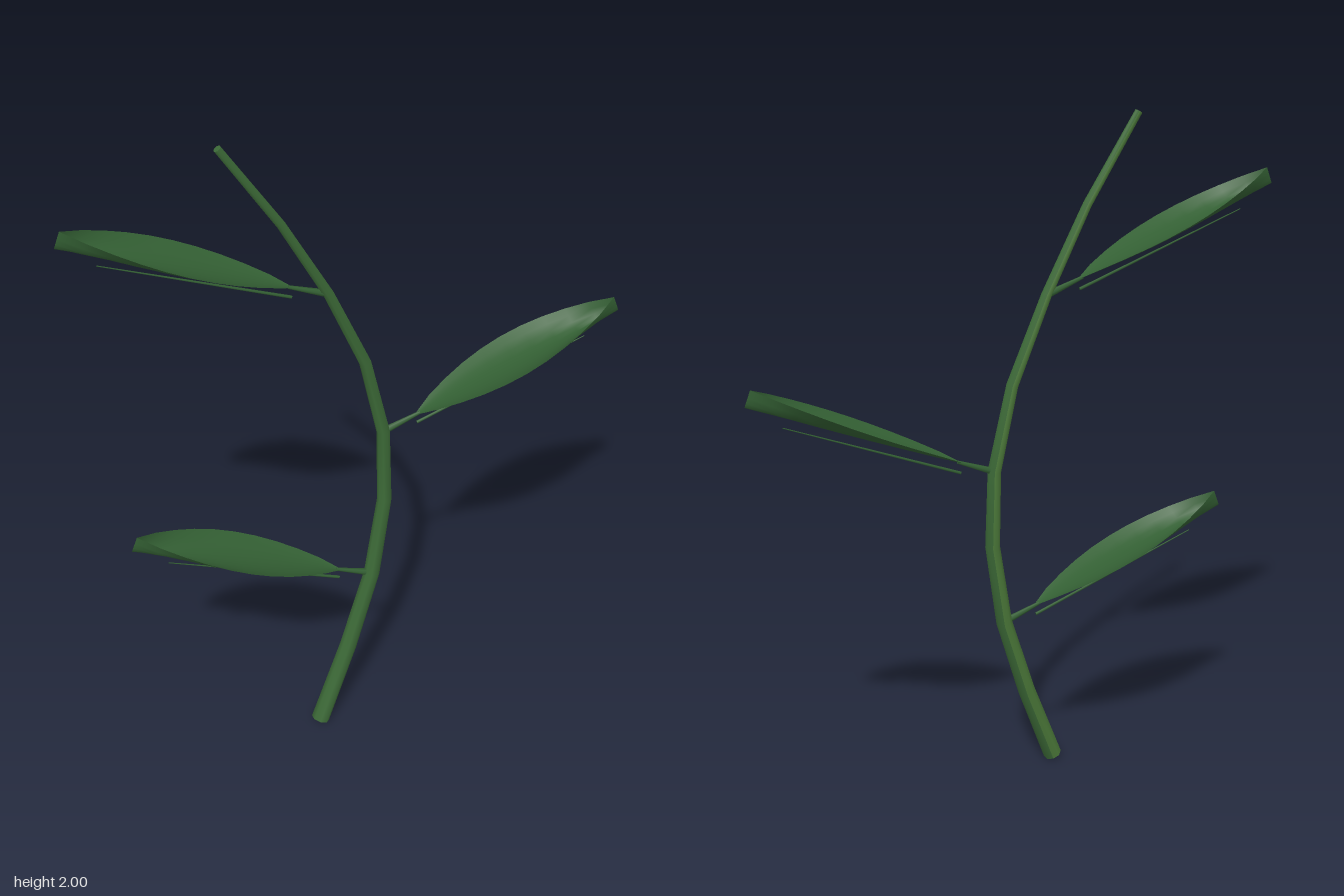
import * as THREE from 'three';

const stemGreen = new THREE.MeshStandardMaterial({ color: 0x3b6836, side: THREE.DoubleSide });
stemGreen.name = 'stem green';
const paleGreen = new THREE.MeshStandardMaterial({ color: 0x4c7a3a, side: THREE.DoubleSide });
paleGreen.name = 'pale stem green';
const leafGreen = new THREE.MeshStandardMaterial({ color: 0x335f33, side: THREE.DoubleSide });
leafGreen.name = 'leaf green';

// Stem centre line from the cut base to the tip
const stemPoints = [
  [-0.117, 0.01, 0.15], [-0.03, 0.26, 0.085], [0.042, 0.51, 0.03],
  [0.078, 0.765, -0.008], [0.073, 1.0, -0.024], [0.02, 1.25, -0.01],
  [-0.08, 1.5, 0.03], [-0.2, 1.745, 0.088], [-0.35, 1.995, 0.15],
].map(p => new THREE.Vector3(...p));

// Grid surface from a function (i, j) => Vector3, with one material choice per column
function gridSurface(rows, cols, point, columnMaterial = () => 0) {
  const positions = [], index = [];
  for (let i = 0; i <= rows; i++)
    for (let j = 0; j <= cols; j++) positions.push(...point(i, j).toArray());
  const g = new THREE.BufferGeometry();
  for (let j = 0; j < cols; j++) {
    g.addGroup(index.length, rows * 6, columnMaterial(j));
    for (let i = 0; i < rows; i++) {
      const a = i * (cols + 1) + j, b = a + cols + 1;
      index.push(a, a + 1, b, a + 1, b + 1, b);
    }
  }
  g.setAttribute('position', new THREE.Float32BufferAttribute(positions, 3));
  g.setIndex(index);
  g.computeVertexNormals();
  return g;
}

// Tapering stem: rings set square to the path, with flat ends
function makeStem() {
  const group = new THREE.Group();
  group.name = 'stem';
  const last = stemPoints.length - 1, sides = 8;
  const radius = i => THREE.MathUtils.lerp(0.028, 0.011, i / last);
  const frame = i => {
    const dir = stemPoints[Math.min(i + 1, last)].clone()
      .sub(stemPoints[Math.max(i - 1, 0)]).normalize();
    return new THREE.Quaternion().setFromUnitVectors(new THREE.Vector3(0, 1, 0), dir);
  };
  const ring = (i, j) => {
    const a = -(j / sides) * Math.PI * 2;
    return new THREE.Vector3(Math.cos(a), 0, Math.sin(a)).multiplyScalar(radius(i))
      .applyQuaternion(frame(i)).add(stemPoints[i]);
  };
  // The pale strip runs along the back right
  const bark = new THREE.Mesh(
    gridSurface(last, sides, ring, j => (j === 2 || j === 3 ? 1 : 0)), [stemGreen, paleGreen]);
  bark.name = 'stemBark';
  group.add(bark);
  for (const i of [0, last]) {
    const cap = new THREE.Mesh(new THREE.CircleGeometry(radius(i), sides), stemGreen);
    cap.geometry.rotateX(i ? -Math.PI / 2 : Math.PI / 2);
    cap.quaternion.copy(frame(i));
    cap.position.copy(stemPoints[i]);
    cap.name = i ? 'stemTip' : 'stemBase';
    group.add(cap);
  }
  return group;
}

// Tapered rod lying along +x
function rod(x0, x1, r0, r1, y, name) {
  const g = new THREE.CylinderGeometry(r1, r0, x1 - x0, 6);
  g.rotateZ(-Math.PI / 2);
  g.translate((x0 + x1) / 2, y, 0);
  const mesh = new THREE.Mesh(g, leafGreen);
  mesh.name = name;
  return mesh;
}

// Leaf along +x: its edges fold up more and more towards the tip
const bladeGeometry = gridSurface(10, 8, (i, j) => {
  const t = i / 10, u = j / 4 - 1;
  const halfWidth = 0.103 * Math.pow(Math.max(Math.sin(Math.PI * t), 0), 0.85);
  return new THREE.Vector3(0.1 + 0.67 * t, 0.05 * Math.pow(t, 0.7) * u * u, halfWidth * u);
});
// Columns run towards +z, so the upper side faces up
bladeGeometry.clearGroups();

function makeLeaf(name, node, turn) {
  const leaf = new THREE.Group();
  leaf.name = name;
  const blade = new THREE.Mesh(bladeGeometry, leafGreen);
  blade.name = 'leafBlade';
  leaf.add(blade,
    rod(0, 0.12, 0.011, 0.005, 0, 'leafStalk'),
    rod(0.1, 0.65, 0.0045, 0.0015, -0.028, 'midrib'));
  leaf.position.copy(stemPoints[node]);
  leaf.rotation.set(0, 0.326 + turn, 0.36);
  return leaf;
}

export function createModel() {
  const model = new THREE.Group();
  model.name = 'leafyTwig';
  model.add(makeStem(),
    makeLeaf('lowerLeaf', 2, Math.PI),
    makeLeaf('middleLeaf', 4, 0),
    makeLeaf('upperLeaf', 6, Math.PI));
  return model;
}
